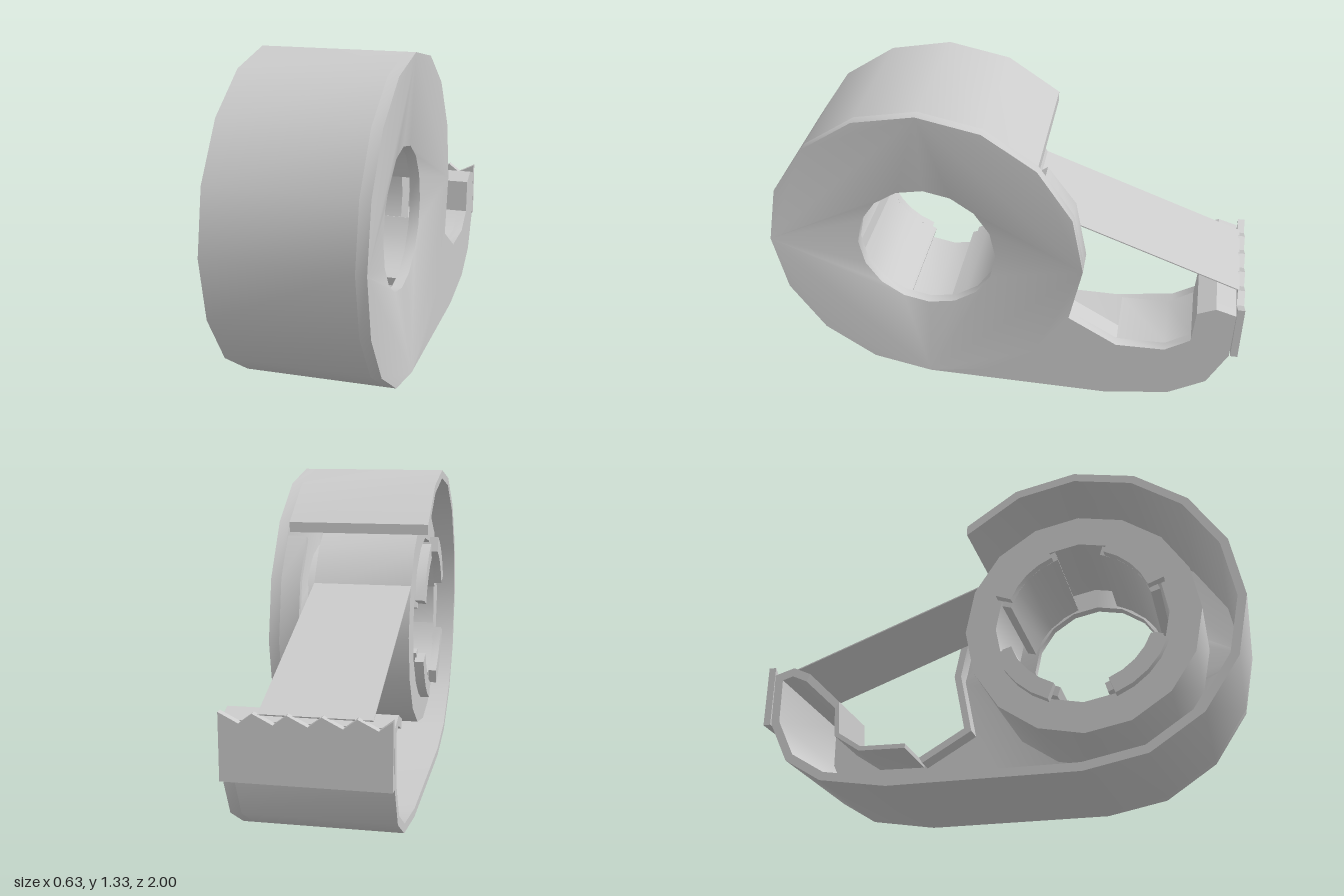
import * as THREE from 'three';
import { toCreasedNormals } from 'three/addons/utils/BufferGeometryUtils.js';

const material = new THREE.MeshStandardMaterial({ color: 0xcccccc, side: THREE.DoubleSide });
const V = (u, v) => new THREE.Vector2(u, v);

// Side profiles are drawn with u = -z and v = y around the roll centre.
const CU = -0.333, CV = 0.667;
const polar = (r, deg) => {
  const a = THREE.MathUtils.degToRad(deg);
  return V(CU + r * Math.cos(a), CV + r * Math.sin(a));
};
function arc(r, from, to, steps) {
  const pts = [];
  for (let i = 0; i <= steps; i++) pts.push(polar(r, from + ((to - from) * i) / steps));
  return pts;
}

// Ring of 16 sides.
function annulus(rOut, rIn) {
  const shape = new THREE.Shape(arc(rOut, 0, 337.5, 15));
  shape.holes.push(new THREE.Path(arc(rIn, 360, 22.5, 15)));
  return shape;
}

// Push a side profile across the width from x0 to x1; dish sinks the vertices near the roll axis.
function across(name, shape, x0, x1, dish = 0) {
  const geo = new THREE.ExtrudeGeometry(shape, { depth: x1 - x0, bevelEnabled: false });
  geo.rotateY(Math.PI / 2).translate(x0, 0, 0);
  const pos = geo.attributes.position;
  for (let i = 0; i < pos.count; i++) {
    if (Math.hypot(pos.getZ(i) + CU, pos.getY(i) - CV) < 0.4) pos.setX(i, pos.getX(i) - dish);
  }
  const mesh = new THREE.Mesh(toCreasedNormals(geo, 0.7), material);
  mesh.name = name;
  return mesh;
}

// Closed outline of a strip with thickness t on the left of an open path.
function ribbon(path, t) {
  const inner = path.map((p, i) => {
    const prev = path[Math.max(i - 1, 0)], next = path[Math.min(i + 1, path.length - 1)];
    const d0 = p.clone().sub(prev).normalize(), d1 = next.clone().sub(p).normalize();
    const n = V(-d0.y - d1.y, d0.x + d1.x).normalize();
    const ref = d1.lengthSq() > 0 ? d1 : d0;
    return p.clone().addScaledVector(n, t / Math.max(n.dot(V(-ref.y, ref.x)), 0.5));
  });
  return [...path, ...inner.reverse()];
}

export function createModel() {
  const model = new THREE.Group();
  const halfWidth = 0.313, wallInner = 0.27;

  const tail = [V(0.45, 0), V(0.73, 0.045), V(0.885, 0.14), V(0.965, 0.305),
    V(0.968, 0.525), V(0.885, 0.55), V(0.81, 0.515)];
  const notch = [V(0.8, 0.365), V(0.695, 0.295), V(0.49, 0.29)];

  // Closed side wall: round part dished towards the hub hole, and the flat tail
  model.add(across('sideWall', annulus(0.667, 0.295), wallInner, halfWidth, 0.045));
  const tailPlate = new THREE.Shape([...arc(0.667, -22.5, -90, 3), ...tail, ...notch]);
  model.add(across('sideWallTail', tailPlate, wallInner, halfWidth));

  // Outer band: roof with an upright cut end, front, base, back and the lip under the tape end
  const band = ribbon([...arc(0.667, 45, 270, 10), ...tail], 0.035);
  band[band.length - 1].set(band[0].x, band[0].y - 0.042);
  model.add(across('outerBand', new THREE.Shape(band), -halfWidth, wallInner));

  // Flange along the back of the round wall, and the wider bowl below the tape
  const rim = [notch[2], ...arc(0.667, -22.5, 22.5, 2), polar(0.65, 40)];
  model.add(across('wallFlange', new THREE.Shape(ribbon(rim, 0.03)), 0.19, wallInner));
  const bowl = ribbon([tail[6], ...notch], 0.02);
  model.add(across('bowl', new THREE.Shape(bowl), 0, wallInner));

  // Hub: four spring prongs with hooked tips
  const hub = new THREE.Group();
  hub.name = 'hub';
  for (let k = 0; k < 4; k++) {
    const mid = 45 + 90 * k;
    const segment = (r0, r1, half) => new THREE.Shape(
      [...arc(r1, mid - half, mid + half, 4), ...arc(r0, mid + half, mid - half, 4)]);
    hub.add(across('prong', segment(0.305, 0.345, 28), -0.25, 0.24));
    hub.add(across('prongHook', segment(0.305, 0.375, 24), -0.285, -0.245));
  }
  model.add(hub);

  // Tape roll
  model.add(across('tapeRoll', annulus(0.49, 0.36), -0.24, 0.175));

  // Loose tape running from the roll to the blade
  const strip = ribbon([V(0.1, 0.874), V(0.975, 0.548)], 0.005);
  model.add(across('tapeStrip', new THREE.Shape(strip), -0.24, 0.175));

  // Serrated blade
  const teeth = 5, pitch = (2 * halfWidth) / teeth;
  const saw = new THREE.Shape();
  saw.moveTo(-halfWidth, 0.303);
  saw.lineTo(halfWidth, 0.303);
  for (let i = 0; i < teeth; i++) {
    const x = halfWidth - i * pitch;
    saw.lineTo(x, 0.56);
    saw.lineTo(x - pitch * 0.6, 0.522);
  }
  saw.lineTo(-halfWidth, 0.56);
  const bladeGeo = new THREE.ExtrudeGeometry(saw, { depth: 0.03, bevelEnabled: false });
  const blade = new THREE.Mesh(bladeGeo.translate(0, 0, -1), material);
  blade.name = 'blade';
  model.add(blade);

  return model;
}
